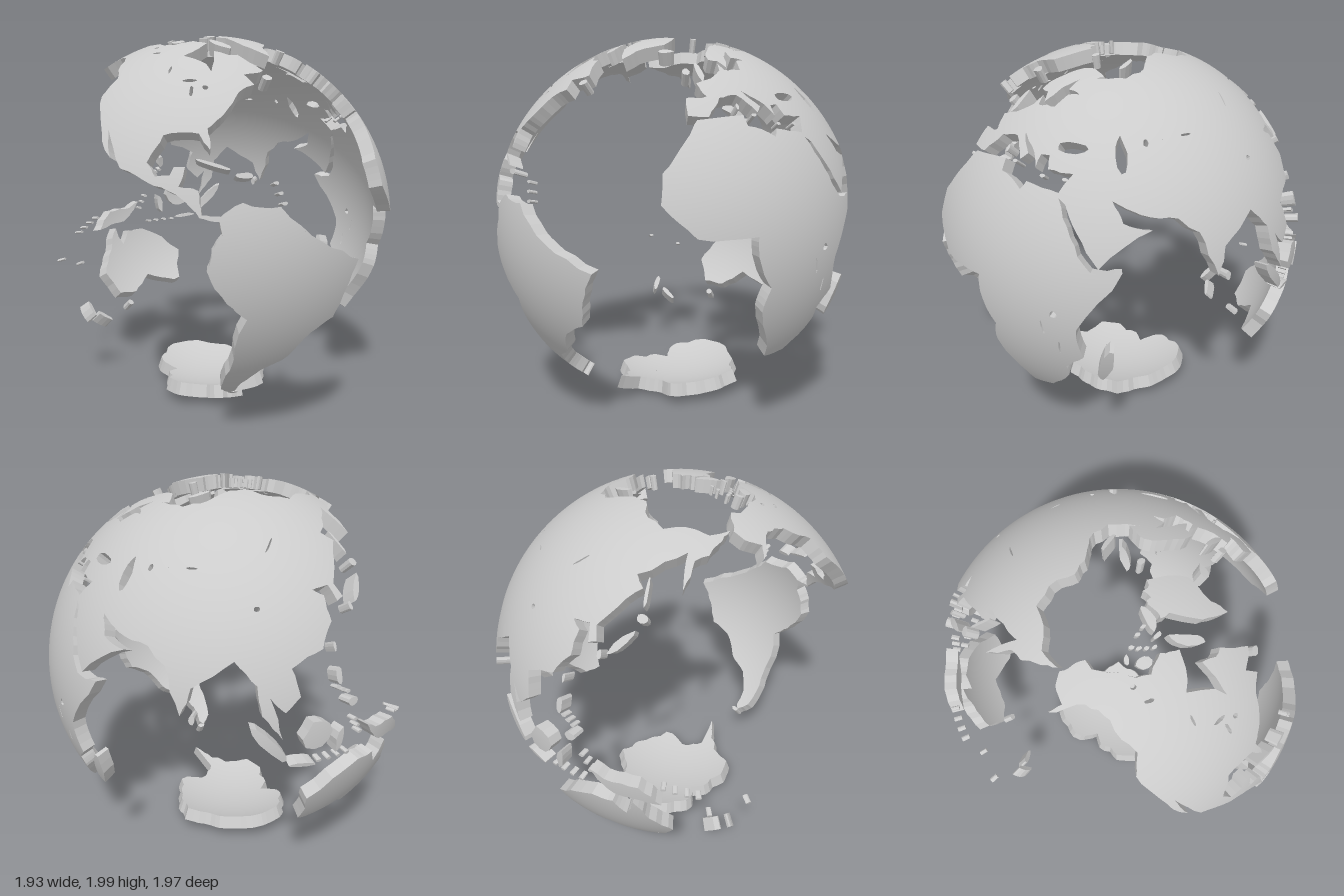
import * as THREE from 'three';

const OUTER = 1.0, INNER = 0.93, FRONT_LON = -91, STEP = 3;
const CENTRE = new THREE.Vector3(-0.04, 1, 0);
const rad = THREE.MathUtils.degToRad;

let seed = 7;
const random = () => (seed = (seed * 16807) % 2147483647) / 2147483647;

// Main corners of the coastlines as longitude, latitude pairs in degrees
const northAmerica = [-168, 65.6, -163, 68.5, -156, 71.3, -128, 70, -108, 67.8, -95, 71.5, -82, 69, -87, 64.5, -94.5, 59.5, -82, 55,
  -79.5, 51.3, -78, 57, -77.5, 62.4, -70, 60, -64.6, 60.2, -56, 52, -66, 50, -63, 46, -70, 43, -75.7, 36, -81, 31.5, -80.3, 25.5,
  -83.5, 30, -94, 29.5, -97.7, 22, -95, 18.5, -91, 18.8, -90, 21, -87, 21, -88.5, 16, -83.3, 15, -82.5, 9, -77.5, 8.6, -78, 7.4,
  -83, 8.3, -87.6, 13, -95, 16.1, -105.5, 20.3, -113, 31, -109.5, 23.1, -117.2, 32.8, -124.3, 42, -123, 49, -134, 58, -147, 60.9,
  -163, 55, -158, 58.7, -165.5, 62];
const southAmerica = [-77.5, 8.6, -72, 12, -62, 10.7, -50, 1, -35.2, -5.5, -39, -14, -41, -22, -48.5, -26, -53.5, -34, -62, -39,
  -67.5, -46, -68.5, -52.3, -71, -53.8, -75.5, -50, -73.5, -38, -70.3, -19, -76, -14, -81.2, -5, -80, 0, -77.3, 4, -78, 7.4];
const africa = [-6, 35.8, 10, 37.2, 10.5, 33.8, 19.5, 30.4, 21, 32.8, 32.3, 31.2, 32.6, 29.9, 37.2, 20.5, 43, 11.8, 51.2, 11.9, 39.2, -5,
  40.6, -15, 35, -20, 35.3, -24, 27, -33.7, 19, -34.5, 11.8, -17, 13.5, -10, 9, -1, 9, 4.3, -7.5, 4.5, -16.7, 13, -16.5, 21, -9.8, 30];
const europe = [32.3, 31.2, 36, 36.4, 27.4, 36.8, 26.5, 40.6, 23.3, 40.4, 22.8, 36.6, 19.4, 41.5, 13.2, 45.4, 18.2, 40, 16, 38, 10.3, 43.9,
  3.1, 43, -2, 36.8, -8.9, 37, -9, 43, -1.5, 43.5, -4.5, 48.4, 8.2, 54, 9.5, 57.5, 11, 54.2, 20, 54.5, 23.5, 59.2, 29.5, 59.7, 22, 61,
  24.5, 65.3, 17.5, 61.5, 13, 55.5, 10.5, 59, 5.5, 59.5, 6, 62.5, 15, 68.5, 27, 71, 41, 67, 34, 66, 44, 66.5];
const asia = [67, 69, 75, 72.6, 104, 77.5, 128, 72, 160, 69.8, 190, 66.1, 178, 63, 163, 59, 156.8, 51, 160, 61.5, 137, 54.5, 141, 51,
  131, 43, 127.6, 39.5, 129.2, 35.5, 126.4, 34.7, 125, 39.5, 118.5, 39, 122, 37, 121.8, 30, 117, 23.6, 107, 20, 109, 12.5, 104.8, 8.8,
  100.7, 13.2, 104, 1.5, 98.6, 8.5, 97.5, 16.3, 91.5, 22.6, 80.2, 15.5, 77.5, 8.1, 72.8, 20.5, 67, 24.8, 56.5, 26.5, 48.5, 30,
  51.5, 24.5, 59.5, 22.5, 45, 12.8, 39, 21.5, 35, 28.3, 32.6, 29.9];
const antarctica = [-180, -78, -145, -75.5, -100, -72.5, -68, -70, -57.5, -63.3, -62, -74, -40, -77.5, -10, -71, 30, -69.5, 50, -66.5,
  72, -69.5, 110, -66, 145, -67, 170, -71.5, 180, -78, 180, -90, -180, -90];
const greenland = [-44, 60, -54, 67, -60, 76, -71, 77.5, -60, 82, -33, 83.5, -12, 81.5, -22, 70.3, -40, 65.3];
const australia = [114, -22, 130, -12, 136.5, -12.2, 140, -17.6, 142.5, -10.8, 146.5, -19, 153.5, -28, 150, -37.3, 140.5, -38, 131, -31.5,
  118, -35, 115, -34];
const newGuinea = [131, -0.8, 135, -3, 144.5, -3.8, 150.6, -10.5, 143, -8.8, 138, -8.3, 133, -4];

// Ovals: longitude, latitude, half width, half height, turn
const westIslands = { baffinIsland: [-73, 68.8, 9, 2.2, -25], ellesmereIsland: [-78, 80, 11, 2.2, 12], victoriaIsland: [-110, 71, 6, 1.6],
  banksIsland: [-123, 72.8, 2, 1.4], devonIsland: [-87, 75.3, 5, 0.6], newfoundland: [-56, 49, 2.3, 1.3], cuba: [-79.5, 21.7, 5, 0.5, -17],
  hispaniola: [-71, 18.8, 2.4, 0.8], southernCape: [-69, -54.2, 2.6, 0.8], iceland: [-19, 64.9, 5, 1.3],
  greatBritain: [-2, 53.8, 1.6, 4.4, 12], ireland: [-8, 53.3, 1.7, 1.5], sardinia: [9, 40, 0.6, 1], sicily: [14.2, 37.2, 1, 0.5] };
const eastIslands = { madagascar: [46.8, -18.8, 2, 6.9, -15], novayaZemlya: [59, 73.8, 8, 1, 18], svalbard: [17, 78.6, 5, 1.3],
  sriLanka: [80.7, 7.2, 0.8, 1.2], sumatra: [100.6, 0, 7.2, 1.5, -47], java: [110, -7.4, 4.6, 0.6, -7], borneo: [114, 1, 4.2, 4, 40],
  sulawesi: [121, -2, 1.1, 3.6, -10], luzon: [121, 16, 1, 2.3], mindanao: [125, 8, 1.6, 1.3], taiwan: [121, 23.7, 0.5, 1.3],
  honshu: [137, 36.5, 5, 1.1, 42], kyushu: [131, 32.6, 0.8, 1.2], hokkaido: [143, 43.4, 2, 1.2], sakhalin: [142.8, 50, 0.7, 4],
  newZealandNorth: [176, -38.5, 1.2, 3.3, 25], newZealandSouth: [170.3, -43.6, 4.2, 1.1, 40], tasmania: [146.7, -42.1, 1.5, 1.2] };
const americanLakes = [[-88, 47.5, 3, 0.6], [-87, 43.6, 0.7, 1.8], [-82, 44.8, 1.1, 0.8], [-98, 52.2, 0.6, 1.6], [-114, 61.7, 2.8, 0.5],
  [-121, 66, 2, 0.7]];
const africanLakes = [[33, -1.2, 1, 1], [29.6, -6, 0.3, 2.4, 12], [34, -12, 0.3, 2]];
const asianLakes = [[33.8, 43.2, 5.6, 1.5], [51, 42, 2, 4.8, 10], [107.5, 53.4, 3.4, 0.35, 42], [76, 46.2, 2.2, 0.3], [60, 45, 1, 1],
  [98.5, 35.5, 1, 0.7]];

// Rows of islets: start longitude, latitude, end longitude, latitude, count
const islandChains = [[116, -8.6, 126, -9, 4], [127.5, 1.5, 130, -3.3, 3], [121.5, 12.5, 124.8, 10.5, 3], [151, -5.6, 161, -9.8, 4],
  [165, -21.2, 177, -17.5, 2], [-116, 75.8, -95, 73.4, 4], [-104, 78.4, -92, 79.4, 2], [25, 35.2, 33, 35, 2], [-60, 11.5, -62, 17, 3]];

const toPoints = (flat) => Array.from({ length: flat.length / 2 }, (_, i) => new THREE.Vector2(flat[2 * i], flat[2 * i + 1]));

function oval([lon, lat, w, h, turn = 0]) {
  return Array.from({ length: 10 }, (_, i) => {
    const a = i / 10 * Math.PI * 2, k = 0.85 + 0.3 * random();
    const p = new THREE.Vector2(w * k * Math.cos(a), h * k * Math.sin(a)).rotateAround(new THREE.Vector2(), rad(turn));
    return p.add(new THREE.Vector2(lon, lat));
  });
}

// Distance in degrees on the globe
const span = (a, b) => Math.hypot((a.x - b.x) * Math.cos(rad((a.y + b.y) / 2)), a.y - b.y);
const middle = (a, b) => a.clone().add(b).multiplyScalar(0.5);

// Give long coast stretches a slight bend
function roughen(points) {
  return points.flatMap((a, i) => {
    const b = points[(i + 1) % points.length];
    if (span(a, b) < 2 || a.y === -90 || b.y === -90) return [a];
    const k = (random() - 0.5) * 0.14;
    return [a, middle(a, b).add(new THREE.Vector2((a.y - b.y) * k, (b.x - a.x) * k))];
  });
}

const direction = (p) => new THREE.Vector3().setFromSphericalCoords(1, rad(90 - p.y), rad(p.x - FRONT_LON));

// Curved solid slab: outer skin, inner skin and side walls
function landGeometry(outline, holes, outer) {
  const rings = [outline, ...holes];
  rings.forEach((ring, i) => { if (THREE.ShapeUtils.isClockWise(ring) !== (i > 0)) ring.reverse(); });
  const all = rings.flat(), pos = [], nor = [];
  const add = (v, n) => { pos.push(v.x + CENTRE.x, v.y + CENTRE.y, v.z + CENTRE.z); nor.push(n.x, n.y, n.z); };

  // Halve the longest side until the triangle follows the sphere
  const skin = (a, b, c) => {
    const [p, q, r] = [[a, b, c], [b, c, a], [c, a, b]].reduce((best, t) => (span(t[0], t[1]) > span(best[0], best[1]) ? t : best));
    if (span(p, q) > STEP) {
      const m = middle(p, q);
      skin(p, m, r);
      skin(m, q, r);
      return;
    }
    const d = [a, b, c].map(direction);
    d.forEach((v) => add(v.clone().multiplyScalar(outer), v));
    d.reverse().forEach((v) => add(v.clone().multiplyScalar(INNER), v.clone().negate()));
  };
  for (const [i, j, k] of THREE.ShapeUtils.triangulateShape(outline, holes)) {
    const a = all[i], b = all[j], c = all[k];
    if ((b.x - a.x) * (c.y - a.y) - (b.y - a.y) * (c.x - a.x) > 0) skin(a, b, c); else skin(a, c, b);
  }

  const wall = (a, b) => {
    if (span(a, b) > STEP) { const m = middle(a, b); wall(a, m); wall(m, b); return; }
    const u = direction(a), v = direction(b), n = v.clone().sub(u).cross(u).normalize();
    const [ai, bi] = [u, v].map((d) => d.clone().multiplyScalar(INNER));
    const [ao, bo] = [u, v].map((d) => d.clone().multiplyScalar(outer));
    [ai, bi, bo, ai, bo, ao].forEach((q) => add(q, n));
  };
  rings.forEach((ring) => ring.forEach((a, i) => {
    const b = ring[(i + 1) % ring.length];
    if (a.y !== -90 && b.y !== -90) wall(a, b);
  }));

  const geometry = new THREE.BufferGeometry();
  geometry.setAttribute('position', new THREE.Float32BufferAttribute(pos, 3));
  geometry.setAttribute('normal', new THREE.Float32BufferAttribute(nor, 3));
  return geometry;
}

export function createModel() {
  const model = new THREE.Group();
  model.name = 'globe';
  const material = new THREE.MeshStandardMaterial({ color: 0xcccccc });
  const land = (name, outline, holes = [], outer = OUTER) => {
    const mesh = new THREE.Mesh(landGeometry(outline, holes, outer), material);
    mesh.name = name;
    model.add(mesh);
  };
  const coast = (flat) => roughen(roughen(toPoints(flat)));

  // Continents
  land('northAmerica', coast(northAmerica), americanLakes.map(oval));
  land('southAmerica', coast(southAmerica));
  land('africa', coast(africa), africanLakes.map(oval));
  land('eurasia', coast([...europe, ...asia]), asianLakes.map(oval));
  land('antarctica', coast(antarctica));
  land('australia', coast(australia));

  // Islands
  land('greenland', coast(greenland));
  land('newGuinea', coast(newGuinea));
  for (const [name, shape] of Object.entries({ ...westIslands, ...eastIslands })) land(name, oval(shape));
  for (const [lon0, lat0, lon1, lat1, count] of islandChains) {
    for (let i = 0; i < count; i++) {
      const t = i / (count - 1);
      const lat = lat0 + (lat1 - lat0) * t;
      land('islet', oval([lon0 + (lon1 - lon0) * t, lat, 0.8 / Math.cos(rad(lat)), 0.5]), [], 0.975);
    }
  }
  return model;
}
